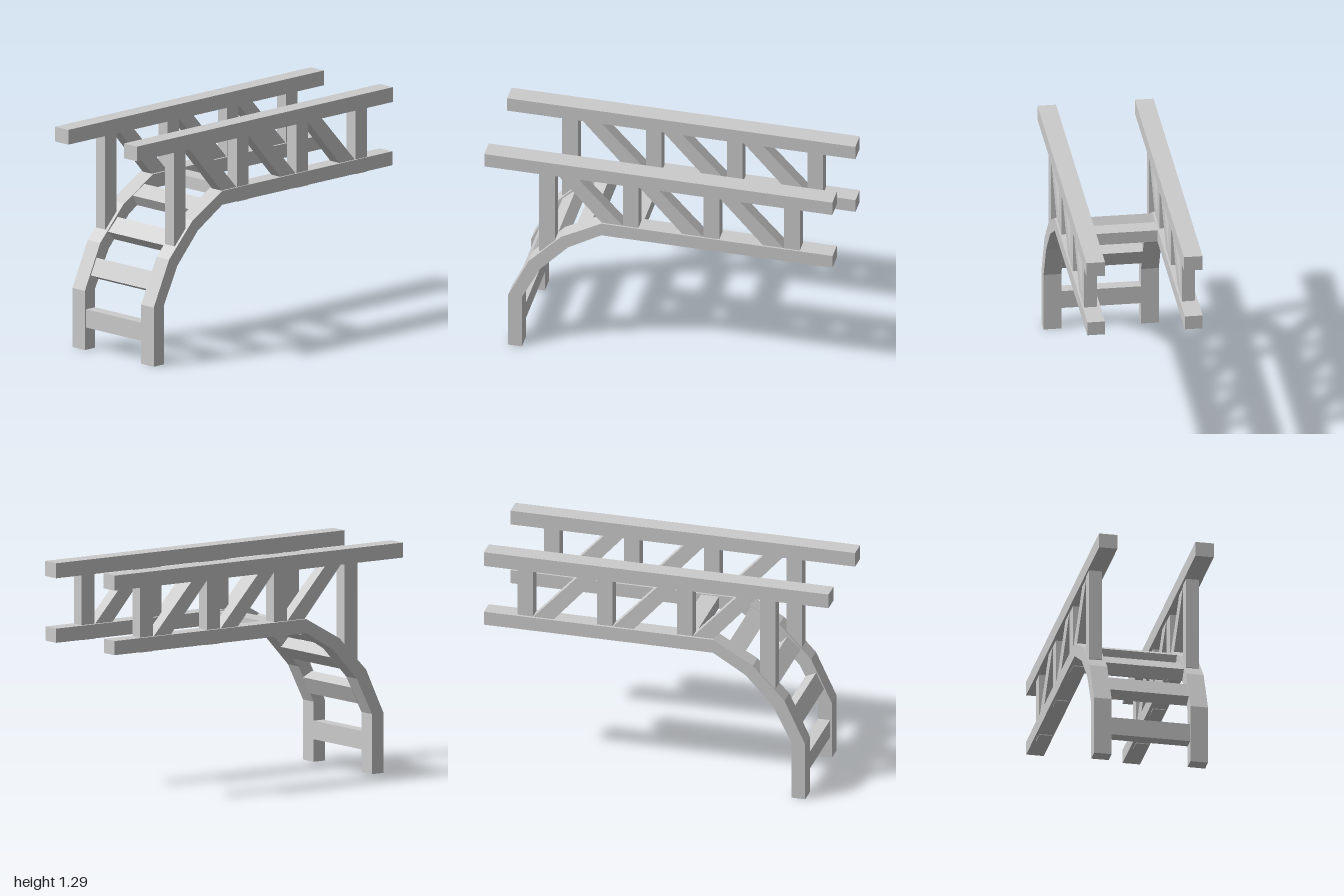
import * as THREE from 'three';

const material = new THREE.MeshStandardMaterial({ color: 0xcccccc, flatShading: true });

// Side outline given as [z, y] points, extruded across x from x0 to x1
function slab(name, points, x0, x1) {
  const shape = new THREE.Shape(points.map(([z, y]) => new THREE.Vector2(z, y)));
  const geo = new THREE.ExtrudeGeometry(shape, { depth: x1 - x0, bevelEnabled: false });
  geo.rotateY(-Math.PI / 2).translate(x1, 0, 0);
  const mesh = new THREE.Mesh(geo, material);
  mesh.name = name;
  return mesh;
}

function beam(name, x0, x1, y0, y1, z0, z1) {
  const mesh = new THREE.Mesh(new THREE.BoxGeometry(x1 - x0, y1 - y0, z1 - z0), material);
  mesh.position.set((x0 + x1) / 2, (y0 + y1) / 2, (z0 + z1) / 2);
  mesh.name = name;
  return mesh;
}

// Leg that bends back into the horizontal lower rail
const legOutline = [
  [0.865, 0], [0.865, 0.34], [0.745, 0.595], [0.56, 0.79], [0.33, 0.92], [-1, 0.92],
  [-1, 0.84], [0.33, 0.84], [0.52, 0.725], [0.68, 0.55], [0.785, 0.34], [0.785, 0],
];

function sideFrame(name, x0, x1, postX) {
  const side = new THREE.Group();
  side.name = name;
  side.add(slab('curvedLegRail', legOutline, x0, x1));
  side.add(beam('topRail', x0, x1 + 0.005, 1.205, 1.29, -1, 1));

  // Front post stands on the curve, the rest on the lower rail
  side.add(beam('frontPost', postX, postX + 0.073, 0.66, 1.21, 0.6, 0.69));
  for (const z of [0.1625, -0.3025, -0.765]) {
    side.add(beam('post', postX + 0.008, postX + 0.081, 0.835, 1.21, z - 0.045, z + 0.045));
  }

  // Diagonal braces between the posts
  for (const z of [0, -0.463, -0.926]) {
    side.add(slab('diagonalBrace', [
      [0.59 + z, 1.215], [0.32 + z, 0.91], [0.2 + z, 0.91], [0.48 + z, 1.215],
    ], postX + 0.006, postX + 0.079));
  }
  return side;
}

export function createModel() {
  const model = new THREE.Group();
  model.name = 'ladderFrame';
  model.add(sideFrame('rightSide', -0.33, -0.23, -0.322));
  model.add(sideFrame('leftSide', 0.22, 0.32, 0.231));

  // Rungs follow the curve: z, y, backward lean
  const rungs = [
    [0.82, 0.18, 0], [0.765, 0.453, 0.45], [0.622, 0.66, 0.81],
    [0.428, 0.82, 1.05], [0.158, 0.88, Math.PI / 2],
  ];
  for (const [z, y, lean] of rungs) {
    const rung = new THREE.Mesh(new THREE.BoxGeometry(0.46, 0.105, 0.07), material);
    rung.position.set(-0.005, y, z);
    rung.rotation.x = -lean;
    rung.name = 'rung';
    model.add(rung);
  }
  return model;
}
